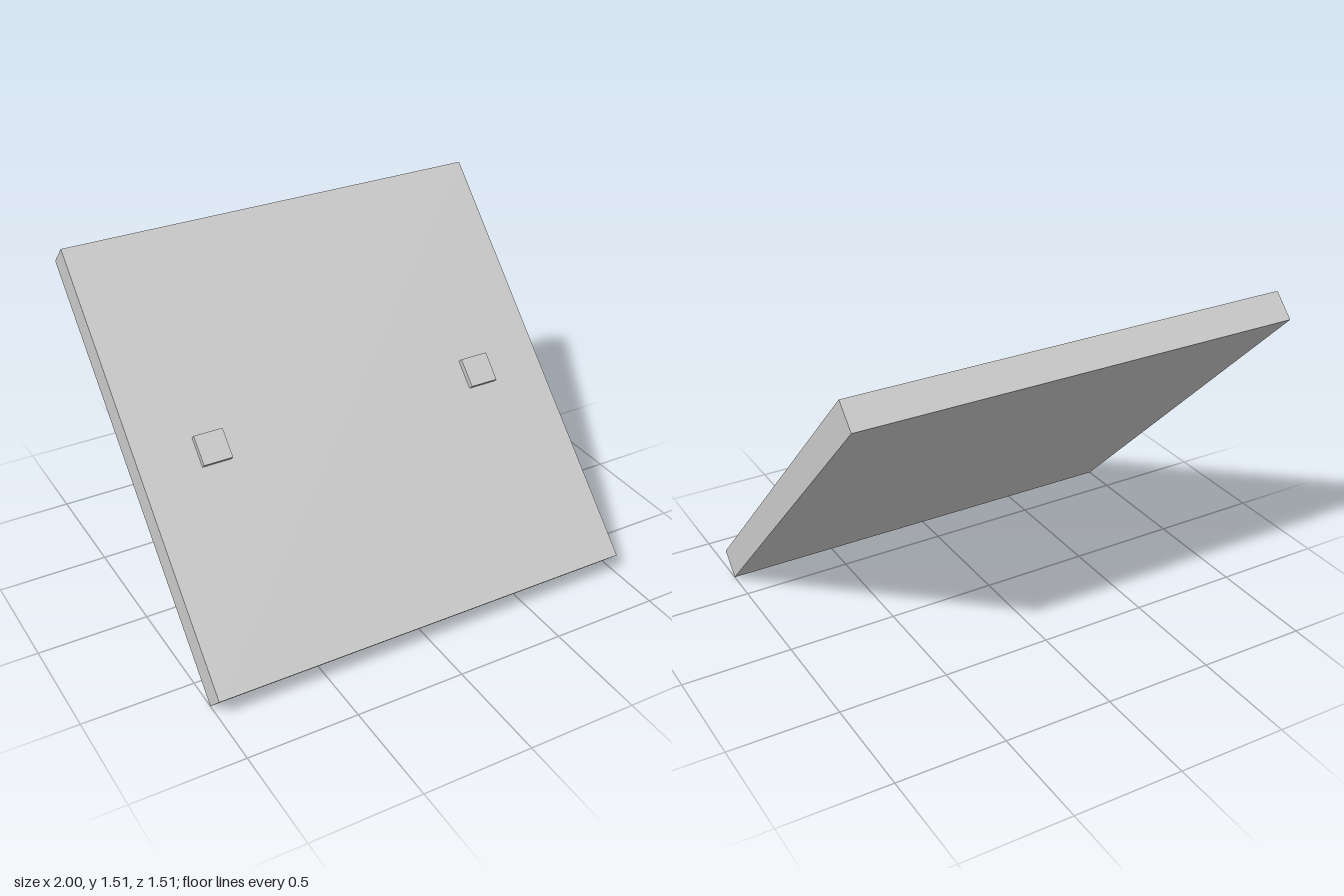
import * as THREE from 'three';

const SIZE = 2;
const UNIT = SIZE / 15; // slab thickness and pad width
const PAD_HEIGHT = UNIT / 5;

export function createModel() {
  const model = new THREE.Group();
  model.name = 'slopedPanel';
  const material = new THREE.MeshStandardMaterial({ color: 0xcccccc, flatShading: true });

  const addBox = (name, w, h, d, x, y) => {
    const mesh = new THREE.Mesh(new THREE.BoxGeometry(w, h, d), material);
    mesh.name = name;
    mesh.position.set(x, y, 0);
    tilted.add(mesh);
  };

  // Everything is built flat, then leaned back by 45 degrees
  const tilted = new THREE.Group();
  tilted.name = 'tiltedPanel';
  tilted.rotation.x = Math.PI / 4;
  tilted.position.y = (SIZE + UNIT) * Math.SQRT1_2 / 2;
  model.add(tilted);

  // Square slab
  addBox('slab', SIZE, UNIT, SIZE, 0, 0);

  // Small square pads resting on the upper face
  for (const side of [-1, 1]) {
    addBox(side > 0 ? 'leftPad' : 'rightPad', UNIT, PAD_HEIGHT, UNIT,
      side * 5 * UNIT, (UNIT + PAD_HEIGHT) / 2);
  }
  return model;
}
